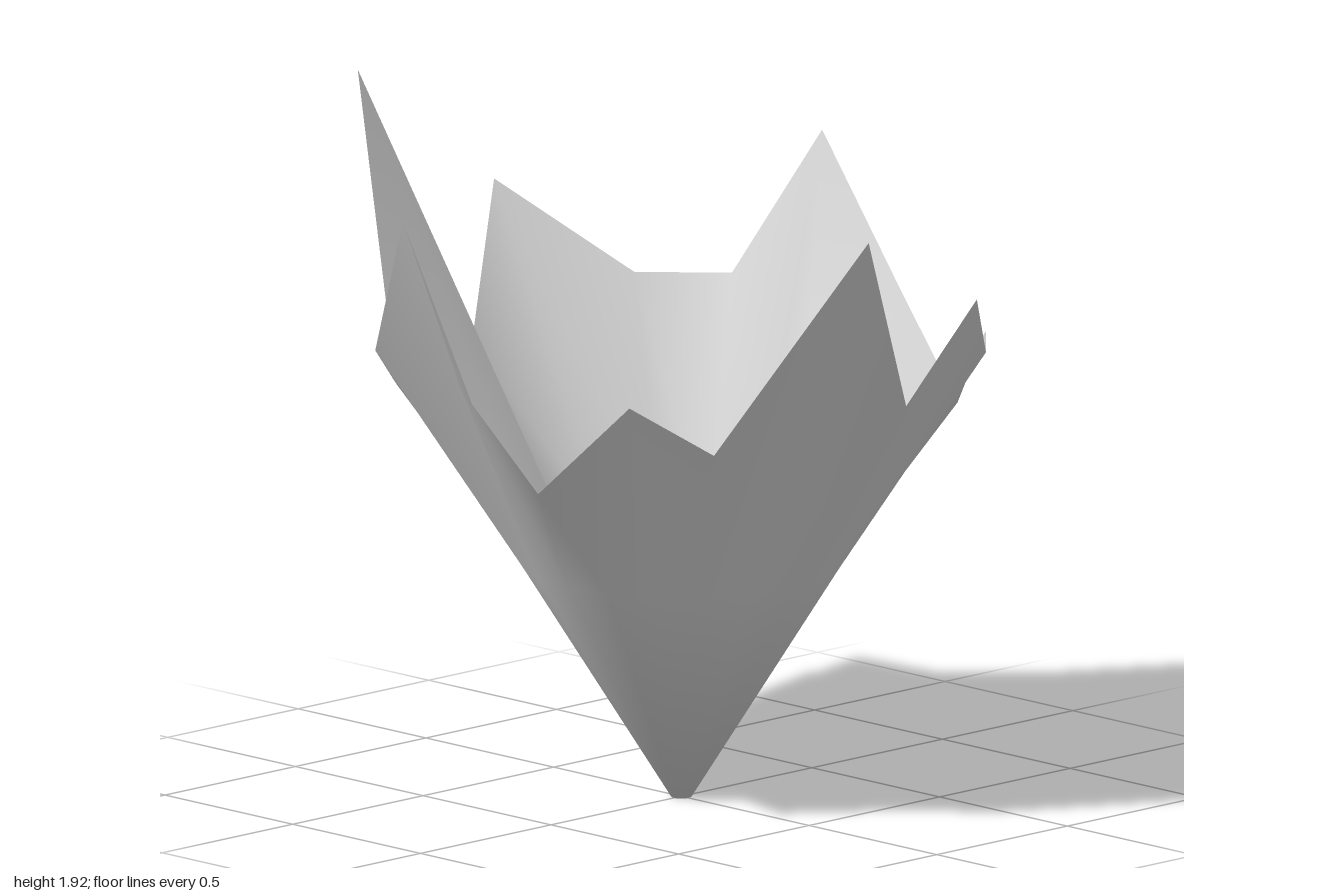
import * as THREE from 'three';

export function createModel() {
  const group = new THREE.Group();
  const grey = new THREE.MeshStandardMaterial({ color: 0xcccccc, side: THREE.DoubleSide });
  grey.name = 'shell grey';

  // Jagged rim: height and depth of each corner, from the front (+z) round by way of +x
  const rim = [
    [1.24, 0.88], [1.5, 0.89], [1.28, 0.685], [1.28, 0.495], [1.02, 0.26],
    [1.28, 0], [1.7, -0.27], [1.28, -0.5], [1.28, -0.69], [1.53, -1],
    [1.14, -0.82], [1.92, -1], [1.14, -0.61], [1.28, -0.5], [1.7, -0.27],
    [1.28, 0], [1.02, 0.26], [1.28, 0.495], [1.14, 0.635], [1.76, 1],
  ];
  const n = rim.length;
  const positions = [];
  const index = [];

  // Round base opening and middle ring
  for (const [radius, y] of [[0.028, 0], [0.437, 0.655]]) {
    for (let i = 0; i < n; i++) {
      const a = (i / n) * Math.PI * 2;
      positions.push(radius * Math.sin(a), y, radius * Math.cos(a));
    }
  }
  // Broken rim
  rim.forEach(([y, z], i) => positions.push(0.845 * Math.sin((i / n) * Math.PI * 2), y, z));

  // Skin the three rings
  for (let ring = 0; ring < 2; ring++) {
    for (let i = 0; i < n; i++) {
      const a = ring * n + i;
      const b = ring * n + ((i + 1) % n);
      index.push(a, b, b + n, a, b + n, a + n);
    }
  }

  const geometry = new THREE.BufferGeometry();
  geometry.setAttribute('position', new THREE.Float32BufferAttribute(positions, 3));
  geometry.setIndex(index);
  geometry.computeVertexNormals();
  // Round the shading off towards the base
  for (let i = 0; i < n; i++) geometry.attributes.normal.setXYZ(i, 0, -1, 0);

  const shell = new THREE.Mesh(geometry, grey);
  shell.name = 'brokenShell';
  group.add(shell);
  return group;
}
